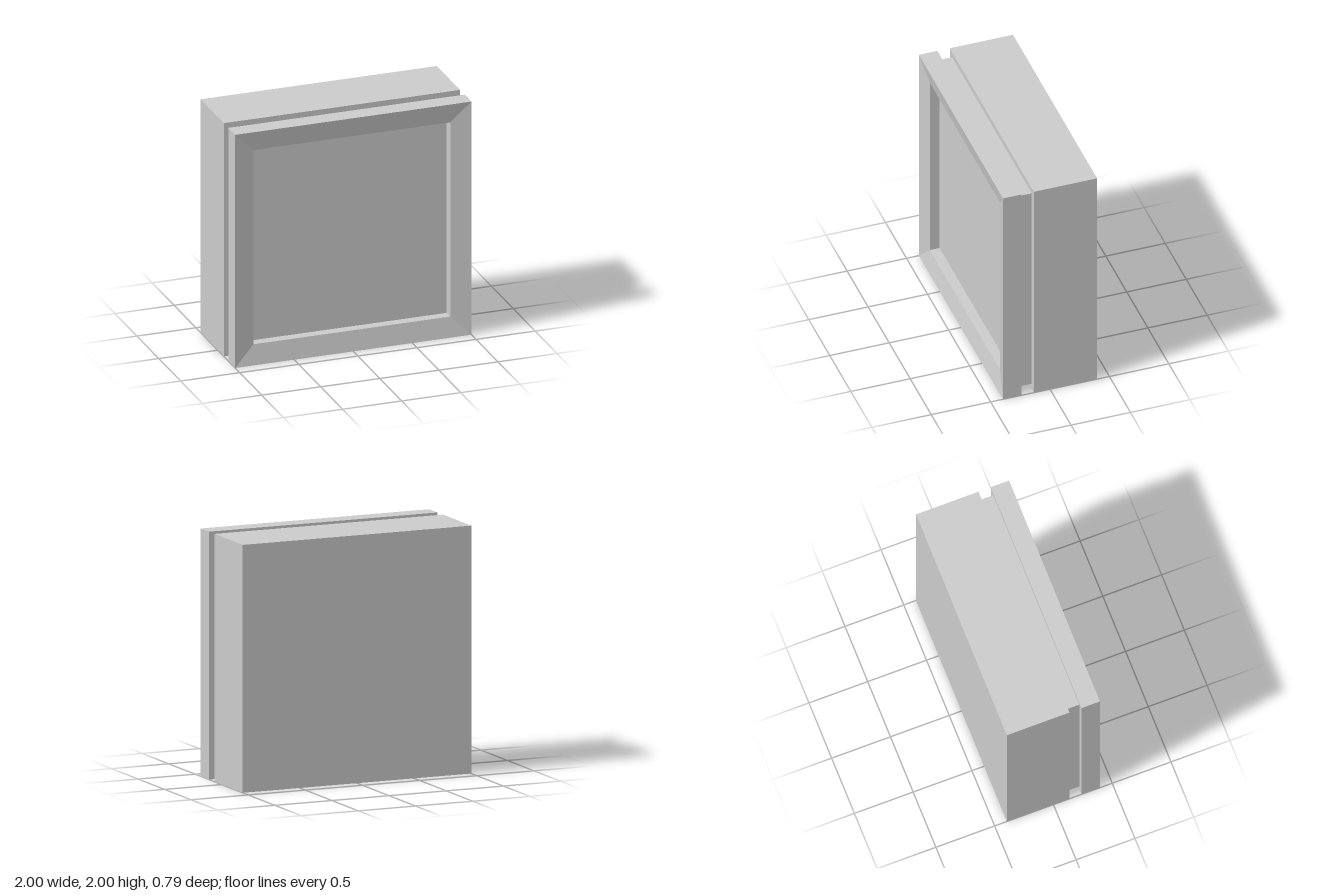
import * as THREE from 'three';

const material = new THREE.MeshStandardMaterial({ color: 0xcccccc, flatShading: true });

// Square slab centred on the model axis, from depth z0 to z1
function slab(name, half, z0, z1) {
  const mesh = new THREE.Mesh(new THREE.BoxGeometry(half * 2, half * 2, z1 - z0), material);
  mesh.position.set(0, 1, (z0 + z1) / 2);
  mesh.name = name;
  return mesh;
}

// Square ring: a four-sided lathe of [half width, z] points turned to face +z
function squareRing(name, profile) {
  const points = profile.map(([half, z]) => new THREE.Vector2(half * Math.SQRT2, z));
  const geometry = new THREE.LatheGeometry(points, 4, Math.PI / 4)
    .rotateX(Math.PI / 2)
    .toNonIndexed();
  geometry.computeVertexNormals();
  const mesh = new THREE.Mesh(geometry, material);
  mesh.position.y = 1;
  mesh.name = name;
  return mesh;
}

export function createModel() {
  const group = new THREE.Group();
  group.name = 'framedBox';

  const back = -0.396, grooveBack = 0.136, grooveFront = 0.24;
  const panelFront = 0.281, bevelInner = 0.363, front = 0.396;
  const opening = 0.833;

  // Deep rear block and the narrower neck that forms the groove
  group.add(slab('rearBody', 1, back, grooveBack));
  group.add(slab('grooveNeck', 0.948, grooveBack, grooveFront));

  // Front frame, its face sloping inwards to the opening
  group.add(squareRing('bevelledFrame', [
    [opening, grooveFront],
    [1, grooveFront],
    [1, front],
    [opening, bevelInner],
    [opening, grooveFront],
  ]));

  // Recessed panel inside the frame
  group.add(slab('recessedPanel', opening, grooveFront, panelFront));

  return group;
}
